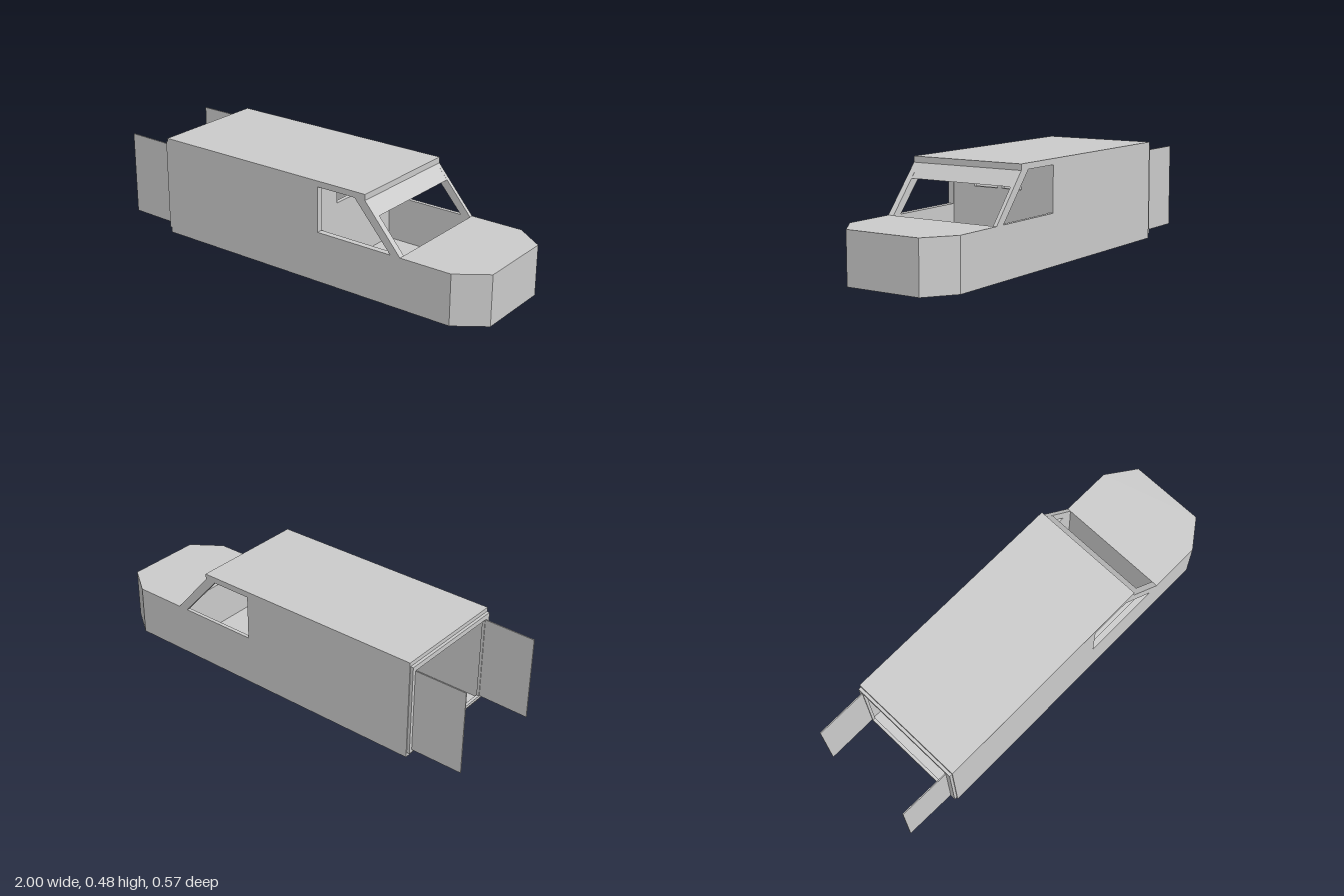
import * as THREE from 'three';

const material = new THREE.MeshStandardMaterial({ color: 0xcccccc, flatShading: true });

// Outer body limits and inner wall faces
const REAR = -0.735, COWL = 0.605, HALF = 0.287, TOP = 0.483, ROOF = 0.455, BELT = 0.24;
const INNER_L = -0.269, INNER_R = 0.258;

const toShape = (pts) => new THREE.Shape(pts.map(([a, b]) => new THREE.Vector2(a, b)));
const rect = (a0, a1, b0, b1) => [[a0, b0], [a1, b0], [a1, b1], [a0, b1]];

function extrude(pts, depth, holes = []) {
  const shape = toShape(pts);
  holes.forEach((h) => shape.holes.push(new THREE.Path(toShape(h).getPoints())));
  return new THREE.ExtrudeGeometry(shape, { depth, bevelEnabled: false });
}
// Side profile (x, y) extruded from z0 to z1
const alongZ = (pts, z0, z1) => extrude(pts, z1 - z0).translate(0, 0, z0);
// Cross plate (-z, y) extruded from x0 to x1
const alongX = (pts, x0, x1, holes) => extrude(pts, x1 - x0, holes).rotateY(Math.PI / 2).translate(x0, 0, 0);
// Plan outline (x, -z) extruded from y0 to y1
const alongY = (pts, y0, y1) => extrude(pts, y1 - y0).rotateX(-Math.PI / 2).translate(0, y0, 0);

export function createModel() {
  const van = new THREE.Group();
  van.name = 'van';
  const add = (name, geometry) => {
    const mesh = new THREE.Mesh(geometry, material);
    mesh.name = name;
    van.add(mesh);
  };

  // Side walls with cab window and sloping windscreen pillar
  const side = [
    [REAR, 0], [COWL, 0], [COWL, BELT], [0.42, ROOF], [0.365, ROOF],
    [0.555, BELT], [0.165, BELT], [0.165, ROOF], [REAR, ROOF],
  ];
  add('farSideWall', alongZ(side, -HALF, INNER_L));
  add('nearSideWall', alongZ(side, INNER_R, HALF));

  // Roof slab and floor
  add('roof', alongZ(rect(REAR, 0.42, ROOF, TOP), -HALF, HALF));
  add('floor', alongZ(rect(REAR, COWL, 0, 0.02), INNER_L, INNER_R));

  // Nose with chamfered corners; its back face is the firewall
  add('nose', alongY([
    [COWL, -HALF], [0.86, -HALF], [1, -0.187], [1, 0.187], [0.86, HALF], [COWL, HALF],
  ], 0, BELT));

  // Header panel lying in the windscreen slope
  add('windscreenHeader', alongZ(
    [[0.395, ROOF], [0.45, 0.39], [0.475, 0.39], [0.42, ROOF]], INNER_L, INNER_R));

  // Partition behind the cab with two small windows
  add('partition', alongX(rect(-INNER_R, -INNER_L, 0.02, ROOF), 0.14, 0.16, [
    rect(-0.14, -0.013, 0.33, 0.42), rect(0.01, 0.115, 0.33, 0.42),
  ]));

  // Stepped frame around the open rear doorway
  add('rearDoorFrame', alongX(rect(-0.283, 0.283, 0.022, 0.464), -0.749, REAR, [
    rect(-0.25, 0.258, 0.036, 0.44),
  ]));

  // Rear doors swung open
  const door = (z0, z1) => alongY(
    [[-1, -z1], [-0.747, -z0], [-0.747, -z0 + 0.005], [-1, -z1 + 0.005]].map(([x, y]) => [x, y]), 0.036, 0.44);
  add('farRearDoor', door(-0.262, -0.262));
  add('nearRearDoor', door(0.258, 0.252));

  return van;
}
